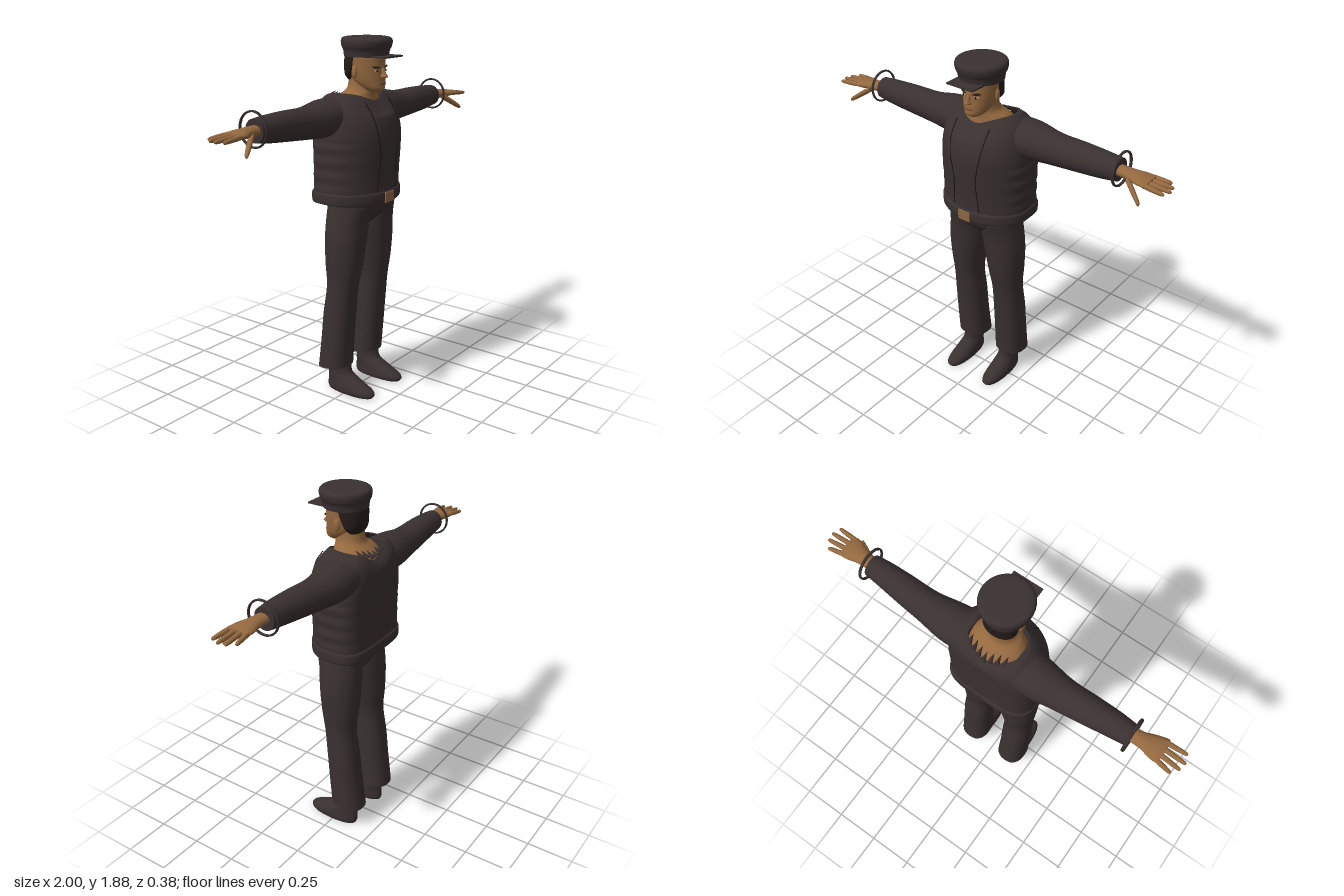
import * as THREE from 'three';

const paint = (name, color) => Object.assign(new THREE.MeshStandardMaterial({ color }), { name });

// Superellipse power that keeps its sign
const spow = (v, p) => Math.sign(v) * Math.pow(Math.abs(v), p);

// Smooth interpolation through rows of equal length, t in 0..1
function sample(rows, t) {
  const f = t * (rows.length - 1), i = Math.min(Math.floor(f), rows.length - 2), u = f - i;
  const at = k => rows[Math.max(0, Math.min(rows.length - 1, k))];
  return rows[0].map((_, c) => {
    const [a, b, d, e] = [at(i - 1)[c], at(i)[c], at(i + 1)[c], at(i + 2)[c]];
    return b + 0.5 * u * (d - a + u * (2 * a - 5 * b + 4 * d - e + u * (3 * (b - d) + e - a)));
  });
}

// Skin over cross-sections. Row: [along, centre, centreZ, radius, frontZ, backZ, frontPower, backPower]
function loft(sections, { axis = 'y', seg = 32, steps = 5, rule = null, caps = true } = {}) {
  const rows = sections.map(r => {
    const front = r[6] ?? 2;
    return [...r.slice(0, 6), front, r[7] ?? front];
  });
  const pos = [], idx = [], n = (rows.length - 1) * steps;
  for (let j = 0; j <= n; j++) {
    const [a, c, cz, r, zf, zb, pf, pb] = sample(rows, j / n);
    for (let i = 0; i < seg; i++) {
      const th = (i / seg) * Math.PI * 2, s = Math.sin(th), p = 2 / (s >= 0 ? pf : pb);
      const w = c + r * spow(Math.cos(th), p);
      const z = cz + spow(s, p) * (s >= 0 ? zf - cz : cz - zb);
      const v = axis === 'y' ? new THREE.Vector3(w, a, z) : new THREE.Vector3(a, w, z);
      if (rule) rule(v);
      pos.push(v.x, v.y, v.z);
    }
  }
  for (let j = 0; j < n; j++) for (let i = 0; i < seg; i++) {
    const a = j * seg + i, b = j * seg + (i + 1) % seg;
    idx.push(a, a + seg, b, b, a + seg, b + seg);
  }
  if (caps) [0, n].forEach(j => {
    const base = pos.length / 3, mid = [0, 0, 0];
    for (let i = 0; i < seg; i++) for (let k = 0; k < 3; k++) {
      const q = pos[(j * seg + i) * 3 + k];
      pos.push(q);
      mid[k] += q / seg;
    }
    pos.push(...mid);
    for (let i = 0; i < seg; i++) {
      const a = base + i, b = base + (i + 1) % seg;
      idx.push(...(j ? [a, base + seg, b] : [a, b, base + seg]));
    }
  });
  const g = new THREE.BufferGeometry();
  g.setAttribute('position', new THREE.Float32BufferAttribute(pos, 3));
  g.setIndex(idx);
  // Turn faces outward whichever way the rows run
  let vol = 0;
  const P = k => new THREE.Vector3().fromArray(pos, idx[k] * 3);
  for (let k = 0; k < idx.length; k += 3) vol += P(k).dot(P(k + 1).cross(P(k + 2)));
  if (vol < 0) flip(g);
  g.computeVertexNormals();
  return g;
}

function flip(g) {
  const a = g.index.array;
  for (let k = 0; k < a.length; k += 3) [a[k], a[k + 1]] = [a[k + 1], a[k]];
}

function mirrored(g) {
  const m = g.clone().scale(-1, 1, 1);
  flip(m);
  m.computeVertexNormals();
  return m;
}

export function createModel() {
  const model = new THREE.Group();
  model.name = 'standingMan';
  const cloth = paint('dark cloth', 0x3a3030);
  cloth.side = THREE.DoubleSide;
  const skin = paint('skin', 0x94693f);
  const black = paint('seam black', 0x151212);
  const hairMat = paint('hair', 0x241c19);
  const lip = paint('lips', 0x744b34);
  const white = paint('eye white', 0xa89888);
  const brass = paint('buckle', 0x8c6644);

  const add = (name, mat, geo) => {
    const m = new THREE.Mesh(geo, mat);
    m.name = name;
    model.add(m);
  };
  const pair = (name, mat, geo) => {
    add(name + 'Left', mat, geo);
    add(name + 'Right', mat, mirrored(geo));
  };
  const blob = (x, y, z, sx, sy, sz, ry = 0, rz = 0) =>
    new THREE.SphereGeometry(1, 16, 10).scale(sx, sy, sz).rotateZ(rz).rotateY(ry).translate(x, y, z);

  // Jacket: open neckline dipping at front and back, small folds at the sides
  const jacket = [
    [1.08, 0, -0.02, 0.245, 0.16, -0.185, 2, 4],
    [1.2, 0, -0.02, 0.243, 0.162, -0.182, 2, 4],
    [1.32, 0, -0.02, 0.245, 0.172, -0.182, 2, 4],
    [1.42, 0, -0.02, 0.24, 0.175, -0.186, 2, 4],
    [1.5, 0, -0.03, 0.23, 0.155, -0.187, 2, 3.4],
    [1.565, 0, -0.04, 0.205, 0.115, -0.178, 2, 3],
    [1.605, 0, -0.045, 0.165, 0.085, -0.16, 2, 2.4],
    [1.61, 0, -0.045, 0.14, 0.08, -0.15, 2, 2.2],
  ];
  const drape = v => {
    if (v.y > 1.5) {
      const lift = (v.y - 1.5) / 0.1, mid = Math.exp(-((v.x / 0.1) ** 2));
      v.y -= lift * mid * (0.05 * Math.max(0, -v.z - 0.04) / 0.1 + 0.035 * Math.max(0, v.z) / 0.08);
    } else if (v.y > 1.13 && v.y < 1.38) {
      v.x *= 1 + 0.014 * Math.sin(v.y * 85) * Math.min(1, Math.abs(v.x) / 0.24) ** 4;
    }
  };
  add('jacketBody', cloth, loft(jacket, { seg: 56, steps: 9, rule: drape, caps: false }));
  add('jacketHem', cloth, loft([
    [1.06, 0, -0.02, 0.245, 0.163, -0.188, 2, 4],
    [1.07, 0, -0.02, 0.25, 0.168, -0.192, 2, 4],
    [1.11, 0, -0.02, 0.25, 0.168, -0.192, 2, 4],
    [1.12, 0, -0.02, 0.243, 0.16, -0.184, 2, 4],
  ], { seg: 56 }));
  add('buckle', brass, new THREE.BoxGeometry(0.07, 0.052, 0.009).translate(0, 1.088, 0.169));

  // Curved seams framing the front panel
  const seam = [[0.1, 1.57], [0.098, 1.5], [0.085, 1.4], [0.068, 1.3], [0.072, 1.2], [0.08, 1.125]].map(([x, y]) => {
    let row = jacket[0];
    for (let t = 0; t <= 1; t += 0.005) {
      const s = sample(jacket, t);
      if (Math.abs(s[0] - y) < Math.abs(row[0] - y)) row = s;
    }
    return new THREE.Vector3(x, y, row[2] + (row[4] - row[2]) * Math.sqrt(1 - (x / row[3]) ** 2));
  });
  pair('frontSeam', black, new THREE.TubeGeometry(new THREE.CatmullRomCurve3(seam), 40, 0.0025, 6));

  // Sleeves and loose cuff rings
  pair('sleeve', cloth, loft([
    [0.13, 1.5, -0.07, 0.09, 0.05, -0.17], [0.25, 1.495, -0.07, 0.094, 0.035, -0.17],
    [0.38, 1.49, -0.065, 0.079, 0.015, -0.15], [0.52, 1.497, -0.06, 0.073, 0.012, -0.135],
    [0.64, 1.502, -0.055, 0.066, 0.008, -0.12], [0.73, 1.505, -0.055, 0.056, 0, -0.11],
  ], { axis: 'x' }));
  pair('cuffRing', cloth, new THREE.TorusGeometry(0.082, 0.005, 8, 36)
    .rotateY(Math.PI / 2).scale(1.6, 1, 1).translate(0.736, 1.513, -0.055));

  // Hands
  pair('palm', skin, loft([
    [0.71, 1.507, -0.05, 0.025, -0.018, -0.085], [0.79, 1.507, -0.045, 0.025, -0.005, -0.085],
    [0.85, 1.507, -0.04, 0.02, 0.018, -0.1], [0.895, 1.505, -0.04, 0.015, 0.018, -0.1],
  ], { axis: 'x', seg: 20 }));
  const finger = (x0, y0, z0, x1, y1, z1, r) => loft([0, 0.5, 0.92, 1].map((t, i) => {
    const k = r * [1, 0.95, 0.7, 0.2][i], z = z0 + (z1 - z0) * t;
    return [x0 + (x1 - x0) * t, y0 + (y1 - y0) * t, z, k, z + k, z - k];
  }), { axis: 'x', seg: 10, steps: 3 });
  [[-0.086, 0.965, -0.1], [-0.056, 0.993, -0.064], [-0.025, 1, -0.026], [0.006, 0.985, 0.014]].forEach(([z0, x1, z1], i) =>
    pair('finger' + (i + 1), skin, finger(0.875, 1.506, z0, x1, 1.498, z1, 0.0125)));
  pair('thumb', skin, finger(0.79, 1.495, -0.015, 0.888, 1.426, 0.045, 0.017));

  // Trousers
  add('trouserSeat', cloth, loft([
    [1.09, 0, -0.005, 0.185, 0.14, -0.125, 2.4], [1.02, 0, -0.01, 0.19, 0.122, -0.126, 2.4],
    [0.97, 0, -0.015, 0.14, 0.085, -0.115], [0.93, 0, -0.02, 0.04, 0.04, -0.08],
  ]));
  pair('trouserLeg', cloth, loft([
    [1.04, 0.1, -0.01, 0.094, 0.115, -0.125, 2.2], [0.95, 0.105, -0.02, 0.103, 0.095, -0.13, 2.2],
    [0.85, 0.116, -0.02, 0.103, 0.085, -0.13, 2.2], [0.72, 0.125, -0.025, 0.09, 0.072, -0.125, 2.2],
    [0.6, 0.131, -0.03, 0.077, 0.05, -0.115, 2.3], [0.45, 0.133, -0.05, 0.08, 0.033, -0.135, 2.4],
    [0.3, 0.133, -0.06, 0.081, 0.02, -0.152, 2.4], [0.13, 0.131, -0.08, 0.083, 0.008, -0.175, 2.4],
  ], { rule: v => { if (v.y < 0.3) v.y += (0.3 - v.y) * (v.z + 0.14) * 0.8; } }));

  // Shoes
  pair('shoe', cloth, loft([
    [0, 0.127, 0.01, 0.05, 0.158, -0.125, 2.3], [0.015, 0.127, 0.01, 0.055, 0.167, -0.13, 2.3],
    [0.035, 0.127, 0, 0.055, 0.155, -0.13, 2.2], [0.06, 0.126, -0.02, 0.052, 0.105, -0.13],
    [0.09, 0.125, -0.05, 0.048, 0.04, -0.128], [0.12, 0.125, -0.06, 0.046, 0.012, -0.126],
    [0.2, 0.125, -0.06, 0.045, 0.008, -0.12],
  ]));

  // Neck with bare upper back, then head
  add('neck', skin, loft([
    [1.49, 0, -0.04, 0.16, 0.085, -0.155], [1.56, 0, -0.04, 0.138, 0.072, -0.142],
    [1.595, 0, -0.035, 0.108, 0.068, -0.112], [1.63, 0, -0.01, 0.068, 0.07, -0.08],
    [1.72, 0, 0, 0.06, 0.06, -0.07],
  ]));
  add('head', skin, loft([
    [1.612, 0, 0.085, 0.022, 0.108, 0.05], [1.628, 0, 0.07, 0.048, 0.126, 0.01],
    [1.66, 0, 0.04, 0.07, 0.126, -0.035], [1.7, 0, 0.03, 0.081, 0.124, -0.07],
    [1.75, 0, 0.025, 0.087, 0.122, -0.08], [1.8, 0, 0.02, 0.088, 0.117, -0.08],
    [1.84, 0, 0.02, 0.07, 0.09, -0.06],
  ]));
  add('nose', skin, loft([
    [1.681, 0, 0.118, 0.012, 0.132, 0.1], [1.69, 0, 0.118, 0.018, 0.154, 0.1],
    [1.705, 0, 0.116, 0.012, 0.144, 0.1], [1.738, 0, 0.115, 0.008, 0.125, 0.1],
  ], { seg: 16 }));
  add('mouth', lip, blob(0, 1.656, 0.125, 0.026, 0.006, 0.005));
  pair('eye', white, blob(0.037, 1.719, 0.113, 0.014, 0.006, 0.004, 0.35));
  pair('iris', black, blob(0.036, 1.719, 0.116, 0.006, 0.006, 0.003, 0.35));
  pair('eyebrow', hairMat, blob(0.04, 1.737, 0.113, 0.024, 0.005, 0.006, 0.4, 0.12));
  pair('ear', skin, blob(0.088, 1.715, 0.015, 0.01, 0.032, 0.018, 0.3));
  add('hair', hairMat, loft([
    [1.67, 0, -0.04, 0.055, -0.02, -0.072], [1.7, 0, -0.03, 0.083, 0, -0.085],
    [1.75, 0, -0.01, 0.09, 0.02, -0.091], [1.8, 0, 0, 0.093, 0.05, -0.09],
  ]));

  // Flat-topped cap with a short peak
  add('cap', cloth, loft([
    [1.786, 0, 0.025, 0.11, 0.135, -0.09], [1.815, 0, 0.025, 0.114, 0.141, -0.093],
    [1.835, 0, 0.025, 0.124, 0.15, -0.101], [1.86, 0, 0.025, 0.127, 0.154, -0.104],
    [1.876, 0, 0.025, 0.118, 0.144, -0.096], [1.881, 0, 0.025, 0.095, 0.12, -0.07],
  ], { seg: 40 }));
  add('capPeak', cloth, new THREE.BoxGeometry(0.155, 0.008, 0.1).translate(0, 1.789, 0.14));

  // Torn collar edge behind the neck
  for (let i = 0; i < 7; i++) {
    const x = (i - 3) * 0.032;
    add('collarScrap' + (i + 1), cloth, new THREE.ConeGeometry(0.014, 0.05, 5)
      .rotateX(0.9).translate(x, 1.575 + 0.25 * Math.abs(x), -0.145 + 0.3 * Math.abs(x)));
  }
  return model;
}
